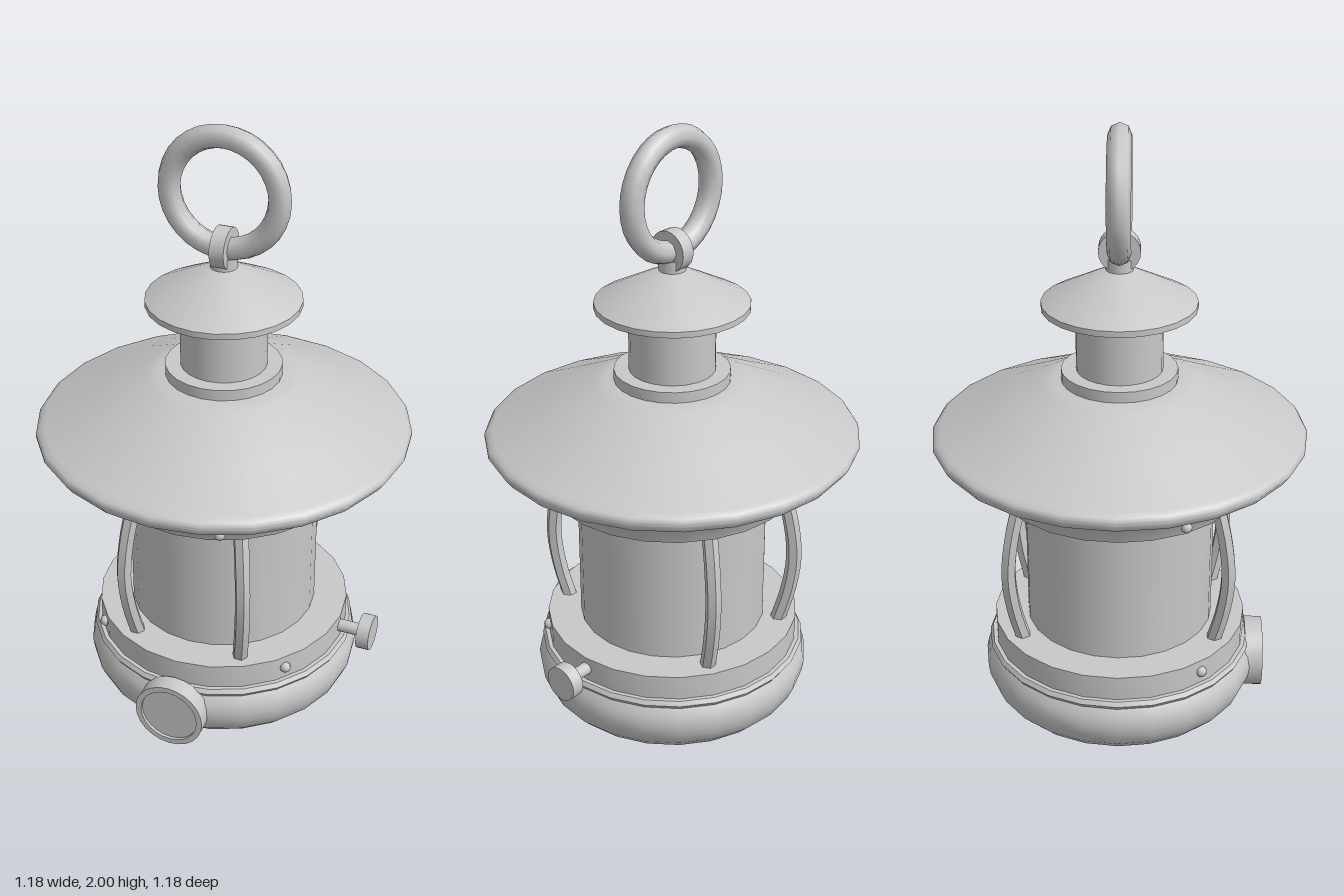
import * as THREE from 'three';
import { toCreasedNormals } from 'three/addons/utils/BufferGeometryUtils.js';

export function createModel() {
  const lantern = new THREE.Group();
  lantern.name = 'lantern';
  const metal = new THREE.MeshStandardMaterial({ color: 0xc8c8c8 });
  metal.name = 'light grey metal';

  const add = (name, geometry, x = 0, y = 0, z = 0) => {
    const mesh = new THREE.Mesh(geometry, metal);
    mesh.name = name;
    mesh.position.set(x, y, z);
    lantern.add(mesh);
    return mesh;
  };
  // Turned part: [radius, height] points from bottom to top, hard edges kept
  const turned = (points, sides = 24) => toCreasedNormals(
    new THREE.LatheGeometry(points.map(([r, y]) => new THREE.Vector2(r, y)), sides), 0.75);

  // Base: foot, rounded fuel tank, bead and gallery band
  add('foot', turned([[0, 0], [0.295, 0], [0.305, 0.01], [0.305, 0.04]]));
  add('tank', turned([
    [0, 0.03], [0.29, 0.03], [0.345, 0.05], [0.395, 0.08], [0.428, 0.115], [0.445, 0.155],
    [0.45, 0.19], [0.443, 0.225], [0.425, 0.252], [0.40, 0.255],
  ]));
  add('tankBead', turned([[0.40, 0.25], [0.427, 0.25], [0.436, 0.264], [0.427, 0.278], [0.40, 0.278]]));
  add('lowerBand', turned([[0.40, 0.27], [0.414, 0.27], [0.414, 0.36], [0, 0.36]]));

  // Globe
  add('globe', new THREE.CylinderGeometry(0.305, 0.305, 0.52, 24), 0, 0.61, 0);

  // Four bowed, faceted guard bars
  for (const sx of [-1, 1]) for (const sz of [-1, 1]) {
    const points = [[0.35, 0.33], [0.387, 0.47], [0.402, 0.6], [0.387, 0.73], [0.35, 0.87]].map(
      ([r, y]) => new THREE.Vector3(sx * r * 0.5, y, sz * r * 0.866));
    const bar = new THREE.TubeGeometry(new THREE.CatmullRomCurve3(points), 14, 0.025, 6);
    add('guardBar', toCreasedNormals(bar, 0.6));
  }

  // Upper band and neck beneath the roof
  add('upperBand', turned([
    [0, 0.845], [0.402, 0.845], [0.425, 0.908], [0.435, 0.918], [0.428, 0.932], [0, 0.932],
  ]));
  add('roofNeck', turned([[0.415, 0.925], [0.415, 0.975]]));

  // Roof, collar, chimney and cap
  add('roof', turned([
    [0, 0.965], [0.42, 0.965], [0.572, 0.985], [0.591, 1.012], [0.591, 1.02], [0.583, 1.032],
    [0.566, 1.04], [0.4, 1.115], [0.24, 1.192], [0.21, 1.2], [0, 1.2],
  ]));
  add('collar', turned([[0.182, 1.19], [0.182, 1.235], [0, 1.235]]));
  add('chimney', new THREE.CylinderGeometry(0.135, 0.135, 0.24, 24), 0, 1.335, 0);
  add('chimneyCap', turned([[0, 1.438], [0.24, 1.438], [0.24, 1.457], [0.046, 1.558], [0, 1.558]]));
  add('loopStem', new THREE.CylinderGeometry(0.042, 0.042, 0.05, 16), 0, 1.57, 0);

  // Hoop on the cap, and the carrying ring through it
  add('hoop', turned([
    [0.034, -0.023], [0.064, -0.023], [0.064, 0.023], [0.034, 0.023], [0.034, -0.023],
  ]), 0, 1.62, 0).rotation.z = Math.PI / 2;
  add('carryingRing', new THREE.TorusGeometry(0.173, 0.036, 8, 32), 0, 1.791, 0);

  // Filler cap on the front of the tank, with a shallow recess
  add('fillerCap', turned([
    [0, 0.42], [0.115, 0.42], [0.115, 0.478], [0.096, 0.478], [0.096, 0.468], [0, 0.468],
  ]), 0, 0.183, 0).rotation.x = Math.PI / 2;

  // Wick knob on the left side
  add('knobShaft', new THREE.CylinderGeometry(0.021, 0.021, 0.12, 12), 0.44, 0.32, 0).rotation.z = Math.PI / 2;
  add('knobHead', new THREE.CylinderGeometry(0.058, 0.058, 0.042, 20), 0.506, 0.32, 0).rotation.z = Math.PI / 2;

  // Rivets across the front of both bands: [angle from front, radius, height]
  const rivet = new THREE.SphereGeometry(0.018, 8, 6);
  for (const [degrees, r, y] of [[20, 0.415, 0.875], [60, 0.415, 0.875], [50, 0.414, 0.32]]) {
    const a = THREE.MathUtils.degToRad(degrees);
    for (const side of [-1, 1]) add('rivet', rivet, side * r * Math.sin(a), y, r * Math.cos(a));
  }

  return lantern;
}
